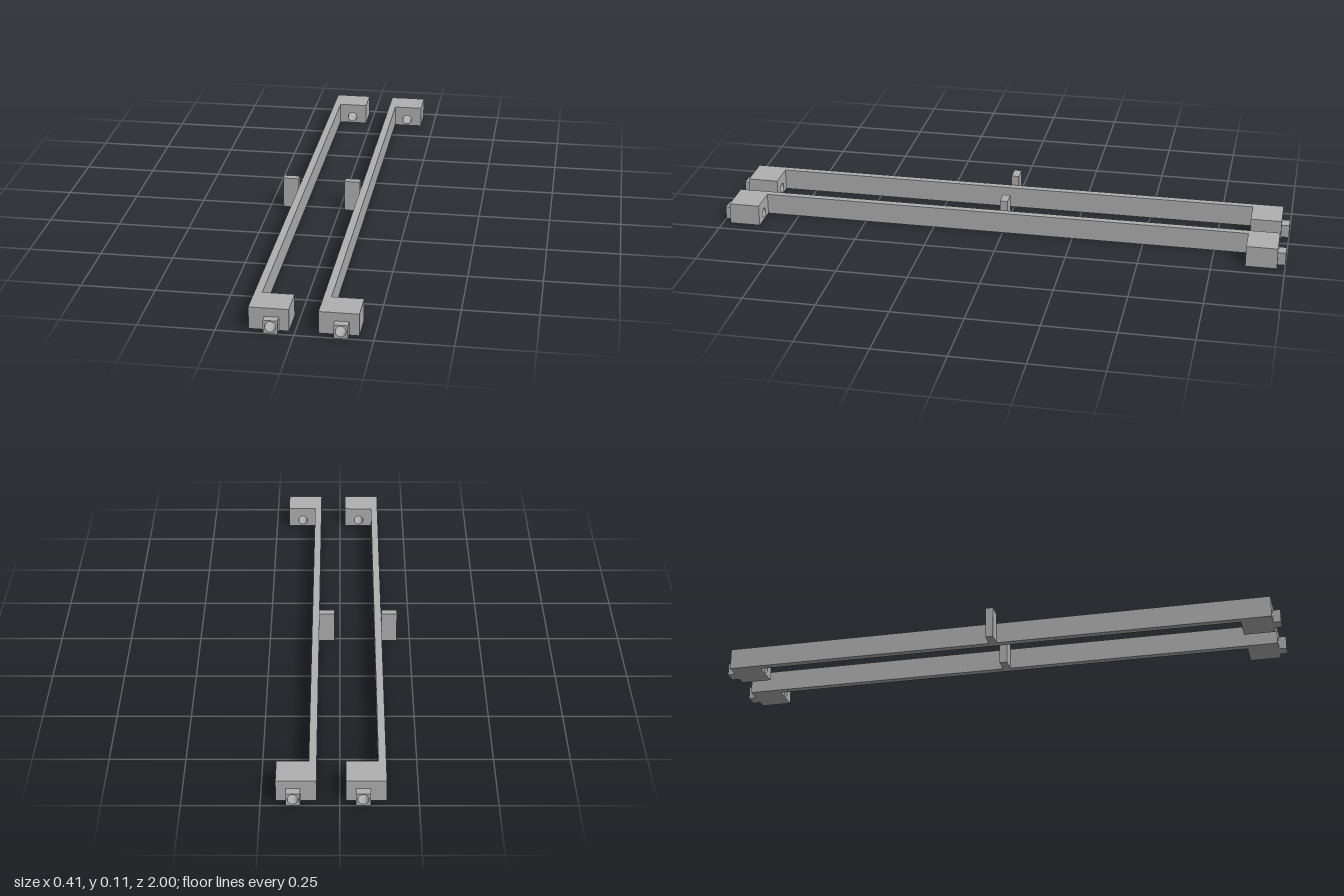
import * as THREE from 'three';
import { toCreasedNormals } from 'three/addons/utils/BufferGeometryUtils.js';

const BORE = { x: -0.0745, y: 0.024, r: 0.0175 };

// Rectangular block along z with a round bore through it
function boredBlock(x0, x1, height, z0, z1) {
  const shape = new THREE.Shape([
    new THREE.Vector2(x0, 0), new THREE.Vector2(x1, 0),
    new THREE.Vector2(x1, height), new THREE.Vector2(x0, height),
  ]);
  const hole = new THREE.Path();
  hole.absarc(BORE.x, BORE.y, BORE.r, 0, Math.PI * 2, true);
  shape.holes.push(hole);
  const geometry = new THREE.ExtrudeGeometry(shape, {
    depth: z1 - z0, bevelEnabled: false, curveSegments: 32,
  });
  geometry.translate(0, 0, z0);
  return toCreasedNormals(geometry, 0.6);
}

function box(x0, x1, y0, y1, z0, z1) {
  const geometry = new THREE.BoxGeometry(x1 - x0, y1 - y0, z1 - z0);
  return geometry.translate((x0 + x1) / 2, (y0 + y1) / 2, (z0 + z1) / 2);
}

export function createModel() {
  const model = new THREE.Group();
  model.name = 'railPair';
  const grey = new THREE.MeshStandardMaterial({ color: 0xb0b0b0 });
  grey.name = 'grey';

  const addRail = (name, offset) => {
    const rail = new THREE.Group();
    rail.name = name;
    rail.position.x = offset;
    const add = (part, geometry) => {
      const mesh = new THREE.Mesh(geometry, grey);
      mesh.name = part;
      rail.add(mesh);
    };

    // Long thin bar and the upright tab on its outer side
    add('bar', box(-0.148, -0.123, 0, 0.075, -0.865, 0.865));
    add('middleTab', box(-0.203, -0.148, 0, 0.111, -0.0135, 0.0135));

    // End block and small square spigot at both ends, bored through
    for (const [end, s] of [['front', 1], ['back', -1]]) {
      const span = (a, b) => (s > 0 ? [a, b] : [-b, -a]);
      add(end + 'Block', boredBlock(-0.148, -0.0195, 0.075, ...span(0.865, 0.973)));
      add(end + 'Spigot', boredBlock(-0.0975, -0.0515, 0.046, ...span(0.973, 1)));
    }
    model.add(rail);
  };

  addRail('rightRail', 0);
  addRail('leftRail', 0.2215);
  return model;
}
